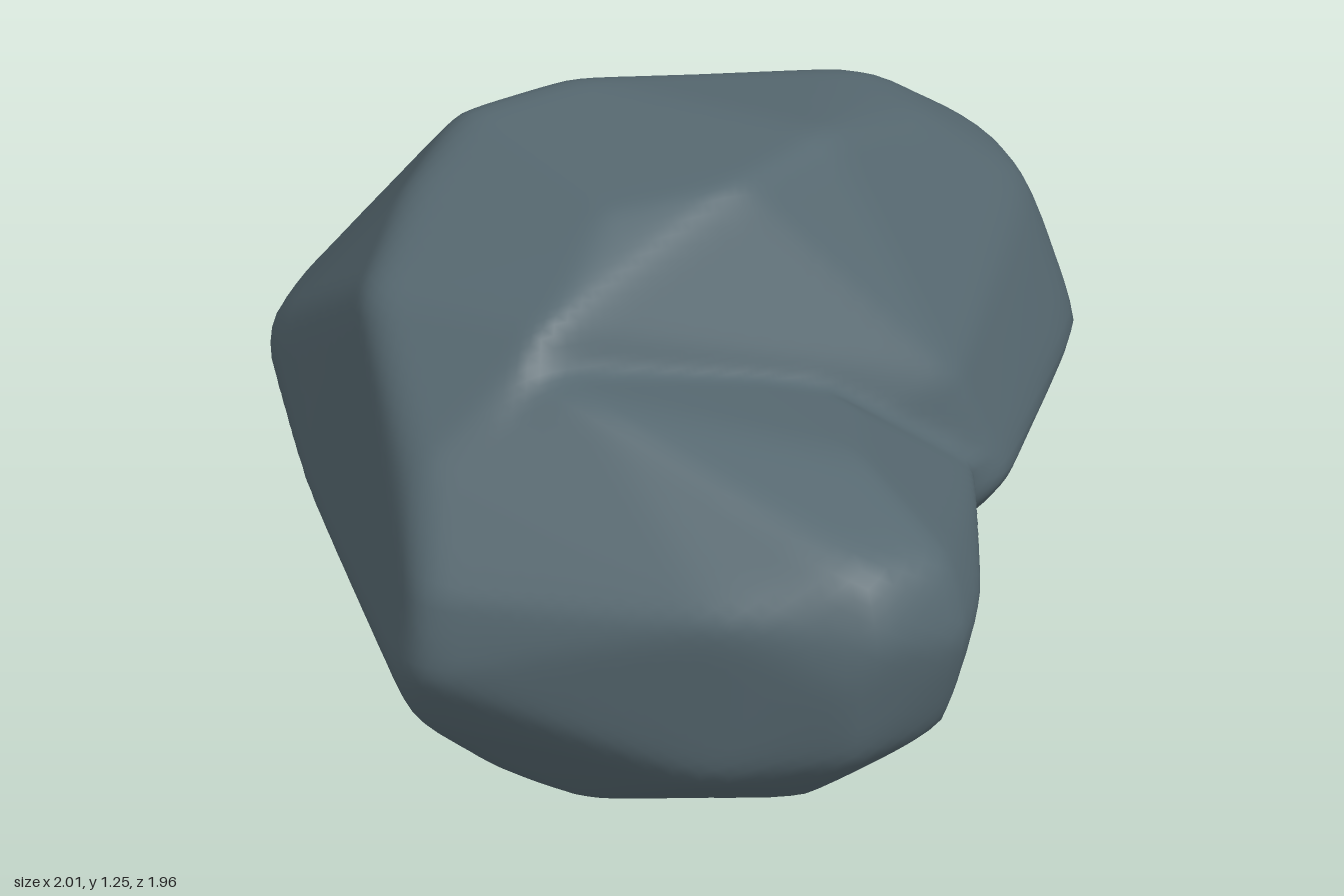
import * as THREE from 'three';
import { mergeVertices } from 'three/addons/utils/BufferGeometryUtils.js';
import { ConvexGeometry } from 'three/addons/geometries/ConvexGeometry.js';

const CENTRE = new THREE.Vector3(-0.15, 0.55, -0.05);

// Corner points of the left flank, shared by both masses so that it runs on without a groove
const FLANK = [
  [-1, 0.42, 0.27], [-0.99, 0.45, 0.36], [-0.97, 0.62, 0.32], [-0.88, 0.82, 0.15], [-0.95, 0.3, 0.27],
  [-0.75, 0.14, 0.3], [-0.6, 0.07, 0.38], [-0.43, 0.02, 0.1], [-0.78, 1.05, -0.24], [-0.85, 0.55, -0.38],
  [-0.72, 0.12, 0],
];
// Broad rear mass
const BODY = [
  ...FLANK,
  [-0.35, 1.23, -0.58], [-0.1, 1.24, -0.58], [0, 1.22, 0], [-0.3, 1.21, -0.05], [0.3, 1.2, -0.14],
  [-0.55, 1.16, -0.45], [-0.55, 1.08, 0.15], [0.62, 1.09, -0.57], [0.65, 1.07, -0.35], [0.88, 0.91, -0.53],
  [0.88, 0.87, -0.32], [1.02, 0.57, -0.53], [0.95, 0.55, -0.22], [0.89, 0.27, -0.46], [0.88, 0.6, -0.67],
  [0.75, 0.5, -0.74], [0.4, 0.6, -0.84], [0.5, 0.5, 0.26], [0.4, 0.75, 0.22], [0.3, 0.97, 0.07],
  [-0.3, 0.83, -0.96], [0, 0.8, -0.98], [-0.56, 0.68, -0.96], [-0.67, 0.62, -0.87], [-0.72, 0.72, -0.76],
  [0.1, 0.21, -0.94], [-0.1, 0.17, -0.92], [-0.2, 0.05, -0.7], [-0.3, 0.04, -0.58],
  [0.5, 0.1, -0.45], [0.72, 0.23, -0.22], [0.6, 0.33, 0.02], [-0.1, 0, -0.5], [-0.4, 0.02, -0.25], [0, 0.02, 0],
];
// Lower lobe pushing forward
const FRONT = [
  ...FLANK,
  [0, 0.03, 0.1], [0, 0.05, 0.4], [-0.25, 0.13, 0.7],
  [-0.25, 0.3, 0.92], [0, 0.32, 0.88], [0.02, 0.55, 0.95], [-0.2, 0.6, 0.98], [-0.27, 0.5, 0.95],
  [-0.2, 0.75, 0.92], [0, 0.73, 0.9], [0.14, 0.58, 0.8], [-0.4, 0.88, 0.55], [-0.05, 0.85, 0.6],
  [-0.55, 0.98, 0.28], [0.1, 0.8, 0.3], [-0.5, 0.65, 0.8], [-0.5, 0.25, 0.75],
  [0.2, 0.5, 0.55], [0.3, 0.47, 0.36], [0.42, 0.56, 0.27], [0.3, 0.5, -0.4], [-0.2, 0.9, -0.5], [-0.2, 0.1, -0.6],
];

// Face planes of a convex mass, relative to the centre
function planesOf(points) {
  const hull = new ConvexGeometry(points.map((p) => new THREE.Vector3(...p).sub(CENTRE)));
  const pos = hull.attributes.position;
  const planes = [];
  for (let i = 0; i < pos.count; i += 3) {
    const [a, b, c] = [0, 1, 2].map((k) => new THREE.Vector3().fromBufferAttribute(pos, i + k));
    planes.push(new THREE.Plane().setFromCoplanarPoints(a, b, c));
  }
  return planes;
}

// Distance from the centre to the surface of a convex mass along a direction
function reach(planes, dir) {
  let r = 3;
  for (const p of planes) {
    const k = p.normal.dot(dir);
    if (k > 1e-4) r = Math.min(r, -p.constant / k);
  }
  return r;
}

export function createModel() {
  const group = new THREE.Group();
  group.name = 'boulder';
  const stone = new THREE.MeshStandardMaterial({ color: 0x566870 });
  stone.name = 'slate stone';

  const masses = [planesOf(BODY), planesOf(FRONT)];
  let geo = new THREE.IcosahedronGeometry(1, 32);
  geo.deleteAttribute('normal');
  geo.deleteAttribute('uv');
  geo = mergeVertices(geo, 1e-4);

  // Push a sphere out to the masses, averaging nearby directions to soften the edges
  const offsets = [[0, 0, 0]];
  for (const s of [0.04, 0.08, -0.04, -0.08]) offsets.push([s, 0, 0], [0, s, 0], [0, 0, s]);
  const pos = geo.attributes.position;
  const dir = new THREE.Vector3();
  const near = new THREE.Vector3();
  for (let i = 0; i < pos.count; i++) {
    dir.fromBufferAttribute(pos, i).normalize();
    let sum = 0;
    for (const o of offsets) {
      near.set(...o).add(dir).normalize();
      sum += Math.max(...masses.map((m) => reach(m, near)));
    }
    // Slight growth makes up for the rounded corners
    dir.multiplyScalar((1.01 * sum) / offsets.length).add(CENTRE);
    pos.setXYZ(i, dir.x, dir.y, dir.z);
  }

  // Stand it on the ground
  geo.computeBoundingBox();
  geo.translate(0, -geo.boundingBox.min.y, 0);
  geo.computeVertexNormals();

  const rock = new THREE.Mesh(geo, stone);
  rock.name = 'rock';
  group.add(rock);
  return group;
}
